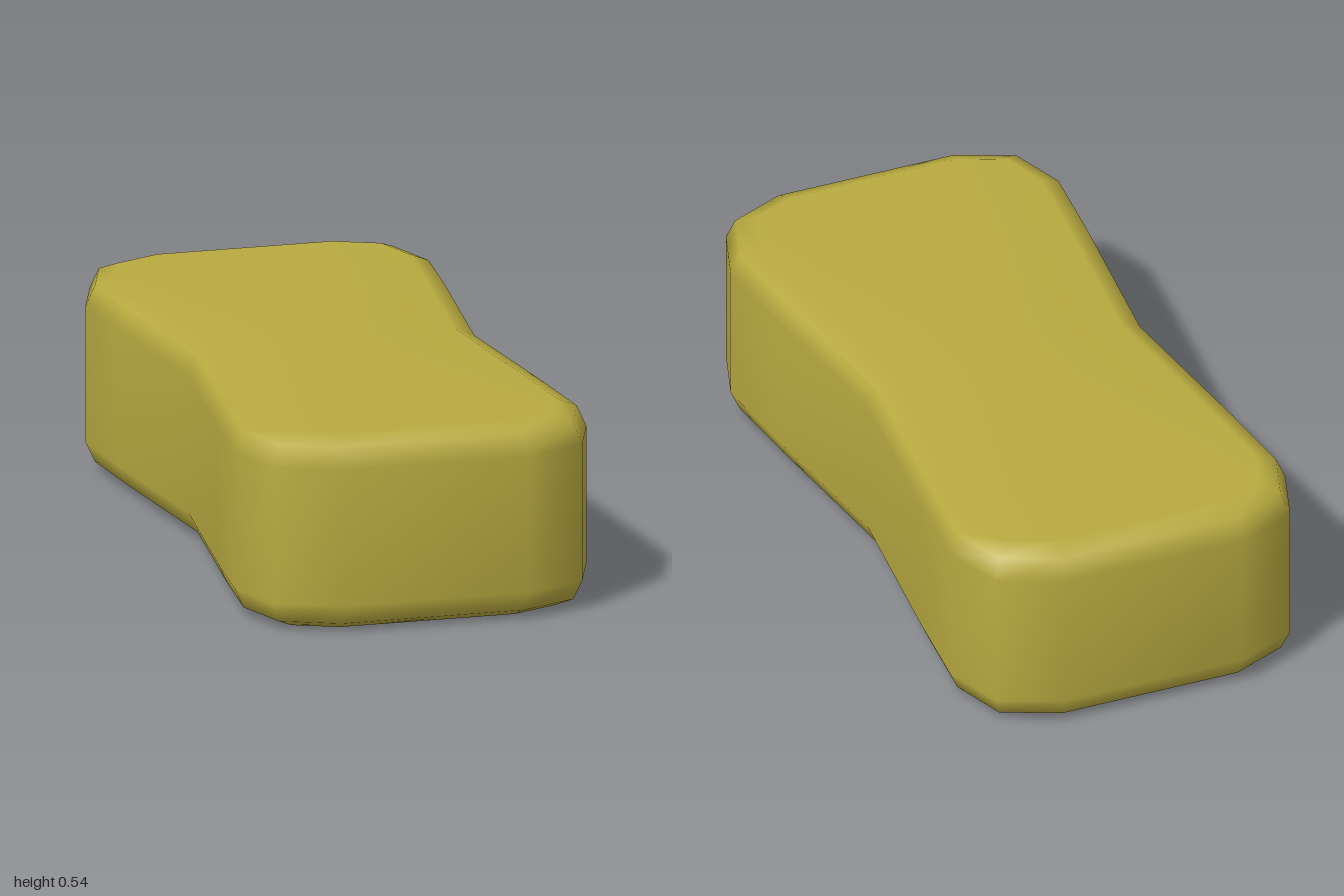
import * as THREE from 'three';

// Half outline on the +x side, from front to back: [x, z]
const quarter = [[0.26, 1], [0.43, 0.925], [0.49, 0.75], [0.467, 0.5]];
const side = [...quarter, [0.41, 0], ...quarter.map(([x, z]) => [x, -z]).reverse()];
const outline = [...side, ...side.map(([x, z]) => [-x, -z])].map(([x, z]) => new THREE.Vector2(x, z));

// Height and inset of each ring: bevelled bottom, straight wall, bevelled top
const rings = [[0, 0.08], [0.025, 0.025], [0.08, 0], [0.46, 0], [0.517, 0.025], [0.54, 0.08]];

// Moves every outline corner inward by an equal distance from both its edges
function insetOutline(distance) {
  const n = outline.length;
  const normal = (a, b) => new THREE.Vector2(-(b.y - a.y), b.x - a.x).normalize();
  return outline.map((p, i) => {
    const n1 = normal(outline[(i + n - 1) % n], p);
    const n2 = normal(p, outline[(i + 1) % n]);
    return p.clone().addScaledVector(n1.clone().add(n2), -distance / (1 + n1.dot(n2)));
  });
}

function bodyGeometry() {
  const n = outline.length;
  const positions = [];
  const index = [];
  for (const [y, inset] of rings) {
    for (const p of insetOutline(inset)) positions.push(p.x, y, p.y);
  }
  // Centres of the bottom and top faces
  const bottom = rings.length * n;
  const top = bottom + 1;
  const last = (rings.length - 1) * n;
  positions.push(0, 0, 0, 0, rings[rings.length - 1][0], 0);

  for (let i = 0; i < n; i++) {
    const j = (i + 1) % n;
    for (let k = 0; k < last; k += n) {
      index.push(k + i, k + j, k + n + j, k + i, k + n + j, k + n + i);
    }
    index.push(bottom, j, i, top, last + i, last + j);
  }
  const geometry = new THREE.BufferGeometry();
  geometry.setAttribute('position', new THREE.Float32BufferAttribute(positions, 3));
  geometry.setIndex(index);
  geometry.computeVertexNormals();
  return geometry;
}

export function createModel() {
  const group = new THREE.Group();
  group.name = 'sponge';
  const body = new THREE.Mesh(bodyGeometry(), new THREE.MeshStandardMaterial({ color: 0xb8aa40 }));
  body.name = 'spongeBody';
  group.add(body);
  return group;
}
